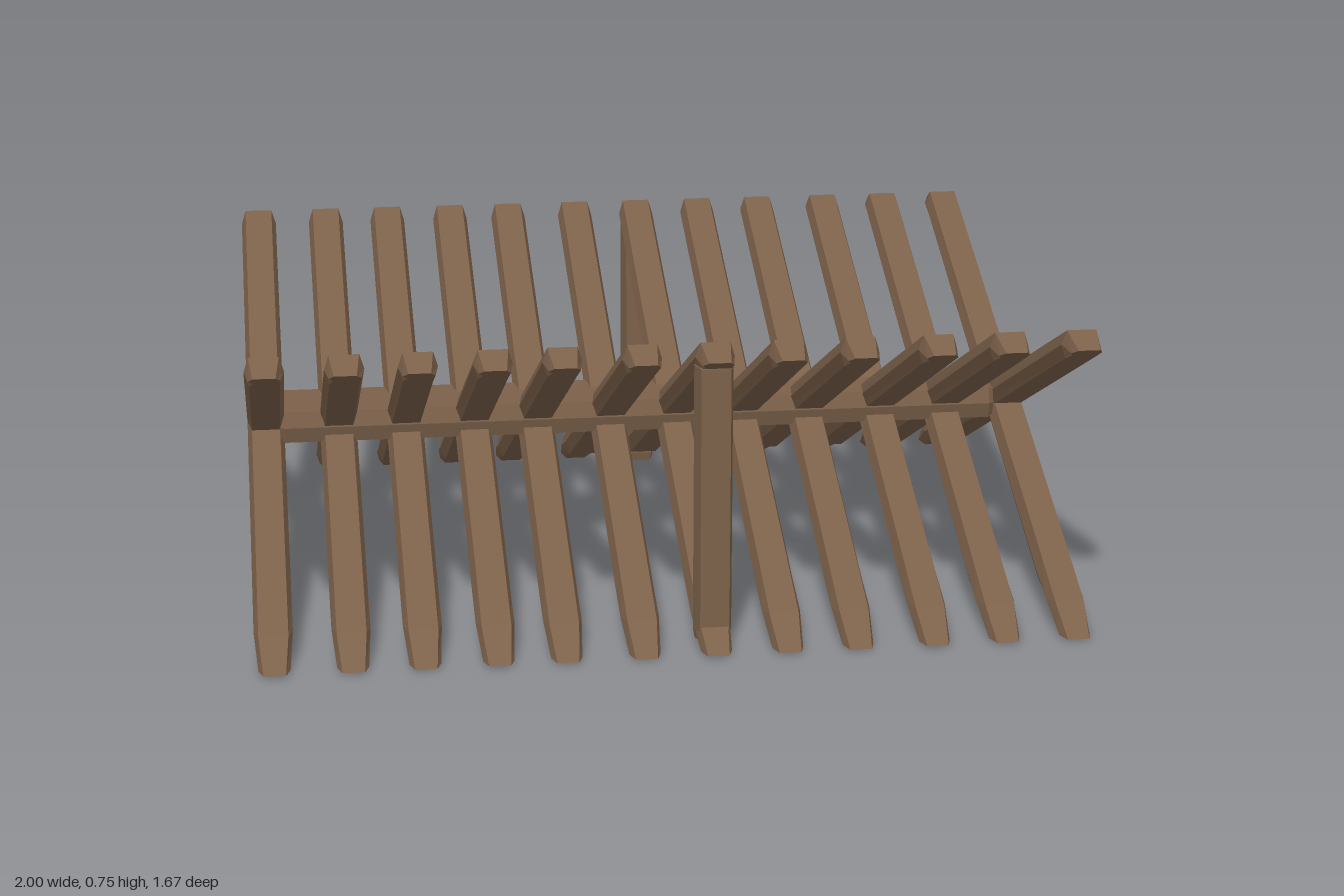
import * as THREE from 'three';

// Bar with six-sided section, lofted through stations [topPoint, bottomPoint, halfWidth].
// The width runs along `axis`; the sides bulge slightly so the edges read as chamfered.
function bar(stations, axis, inset = 0.011) {
  const rings = stations.map(([t, b, w]) => {
    const top = new THREE.Vector3(...t), bottom = new THREE.Vector3(...b);
    const mid = top.clone().lerp(bottom, 0.5);
    const at = (p, d) => p.clone().addScaledVector(axis, d);
    const n = w - inset;
    return [at(top, -n), at(top, n), at(mid, w), at(bottom, n), at(bottom, -n), at(mid, -w)];
  });
  const tris = [];
  for (let i = 0; i < rings.length - 1; i++) {
    const a = rings[i], b = rings[i + 1];
    for (let j = 0; j < 6; j++) {
      const k = (j + 1) % 6;
      tris.push([a[j], a[k], b[k]], [a[j], b[k], b[j]]);
    }
  }
  const first = rings[0], last = rings[rings.length - 1];
  for (let j = 1; j < 5; j++) {
    tris.push([first[0], first[j + 1], first[j]], [last[0], last[j], last[j + 1]]);
  }
  // Turn every face outward
  const volume = tris.reduce((s, [a, b, c]) => s + a.dot(b.clone().cross(c)), 0);
  if (volume < 0) tris.forEach((t) => t.reverse());
  const geometry = new THREE.BufferGeometry().setFromPoints(tris.flat());
  geometry.computeVertexNormals();
  return geometry;
}

export function createModel() {
  const group = new THREE.Group();
  const wood = new THREE.MeshStandardMaterial({ color: 0x7c614a });
  wood.name = 'brown wood';
  const X = new THREE.Vector3(1, 0, 0), Z = new THREE.Vector3(0, 0, 1);
  const add = (name, geometry, x = 0, turn = 0) => {
    const mesh = new THREE.Mesh(geometry, wood);
    mesh.name = name;
    mesh.position.x = x;
    mesh.rotation.y = turn;
    group.add(mesh);
  };

  // Crossed stakes: foot at the front, pointed head at the back
  const stake = bar([
    [[0, 0.005, 0.835], [0, 0, 0.755], 0.037],
    [[0, 0.068, 0.74], [0, 0.05, 0.645], 0.046],
    [[0, 0.133, 0.6], [0, 0.07, 0.57], 0.046],
    [[0, 0.745, -0.745], [0, 0.673, -0.735], 0.046],
    [[0, 0.715, -0.82], [0, 0.69, -0.77], 0.037],
  ], X);
  const xs = [-0.952, -0.77, -0.602, -0.43, -0.27, -0.085, 0.085, 0.256, 0.425, 0.61, 0.78, 0.952];
  for (const x of xs) {
    add('stakeRisingBack', stake, x);
    add('stakeRisingFront', stake, x, Math.PI);
  }

  // Long beam through the crossing
  add('crossBeam', bar([
    [[-0.918, 0.415, 0], [-0.918, 0.345, 0], 0.1],
    [[-0.905, 0.42, 0], [-0.905, 0.34, 0], 0.11],
    [[0.895, 0.42, 0], [0.895, 0.34, 0], 0.11],
    [[0.908, 0.415, 0], [0.908, 0.345, 0], 0.1],
  ], Z));

  // Upright props under the raised heads
  for (const [name, z] of [['frontPost', 0.722], ['backPost', -0.712]]) {
    add(name, bar([
      [[0, 0.012, z + 0.039], [0, 0.012, z - 0.039], 0.042],
      [[0, 0.035, z + 0.044], [0, 0.035, z - 0.044], 0.046],
      [[0, 0.685, z + 0.044], [0, 0.685, z - 0.044], 0.046],
    ], X), 0.085);
  }
  return group;
}
